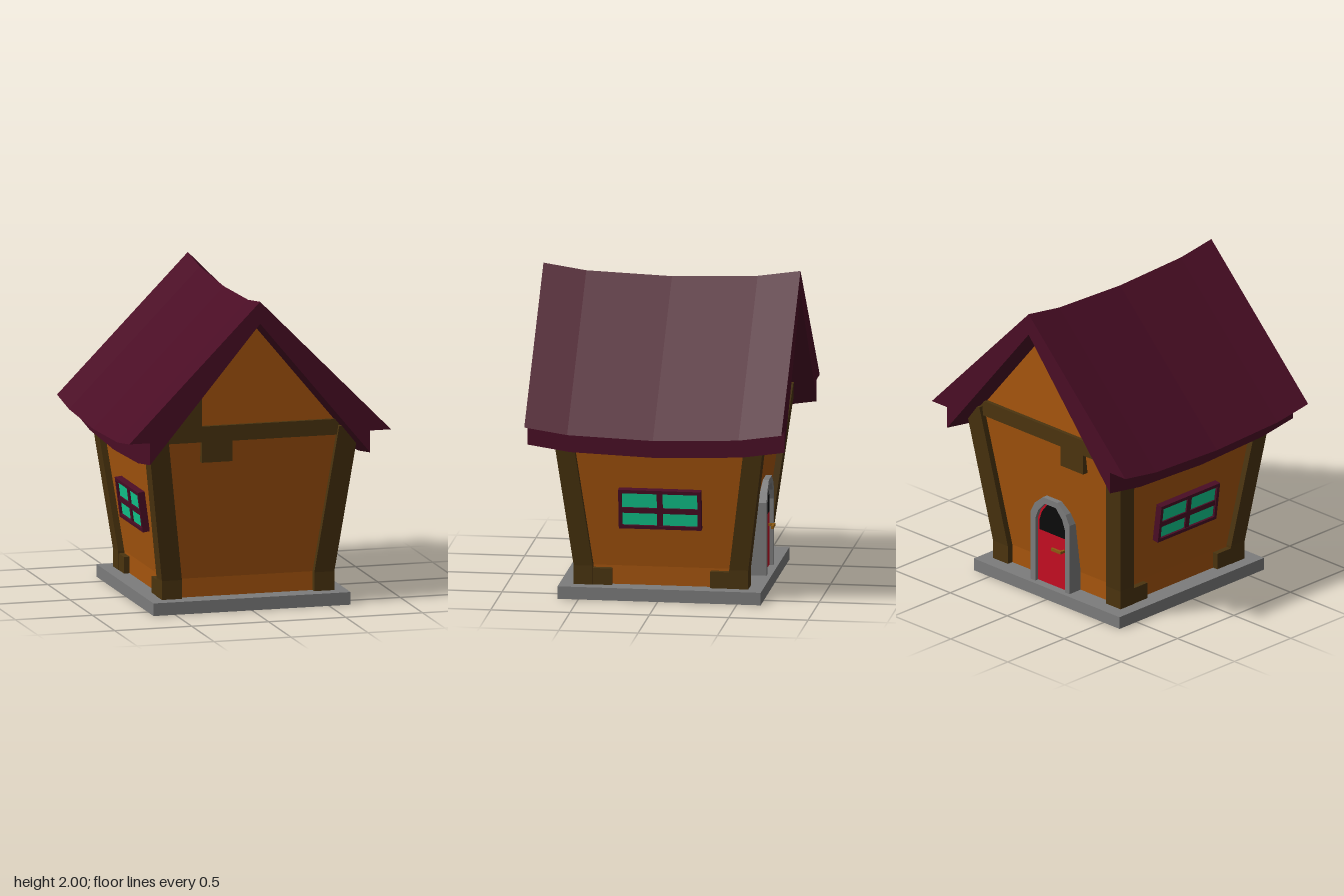
import * as THREE from 'three';

const mat = (name, color, side = THREE.FrontSide) => {
  const m = new THREE.MeshStandardMaterial({ color, side });
  m.name = name;
  return m;
};

// Stack of rectangles [y, x0, x1, z0, z1] joined into a flat-faced solid, open underneath
function loft(rings) {
  const loops = rings.map(([y, x0, x1, z0, z1]) => [[x0, y, z1], [x1, y, z1], [x1, y, z0], [x0, y, z0]]);
  const pos = [];
  const quad = (a, b, c, d) => pos.push(...a, ...b, ...c, ...a, ...c, ...d);
  for (let i = 0; i < loops.length - 1; i++) {
    for (let k = 0; k < 4; k++) {
      const n = (k + 1) % 4;
      quad(loops[i][k], loops[i][n], loops[i + 1][n], loops[i + 1][k]);
    }
  }
  quad(...loops[loops.length - 1]);
  const g = new THREE.BufferGeometry();
  g.setAttribute('position', new THREE.Float32BufferAttribute(pos, 3));
  g.computeVertexNormals();
  return g;
}

const toPoints = (pts) => pts.map(([x, y]) => new THREE.Vector2(x, y));

// Extruded outline between z0 and z1
function slab(pts, z0, z1, steps = 1) {
  const g = new THREE.ExtrudeGeometry(new THREE.Shape(toPoints(pts)), { depth: z1 - z0, steps, bevelEnabled: false });
  return g.translate(0, 0, z0);
}

export function createModel() {
  const roofMat = mat('dark plum', 0x4a0d25);
  const wallMat = mat('orange plaster', 0xa6550d);
  const timberMat = mat('brown timber', 0x4b340f);
  const stoneMat = mat('grey stone', 0x7c7c7c, THREE.DoubleSide);
  const paneMat = mat('green glass', 0x11cb8f);
  const doorMat = mat('red door', 0xc40d22);
  const darkMat = mat('black glass', 0x0b0b0b);
  const brassMat = mat('brass', 0x8c5a12);

  const model = new THREE.Group();
  model.name = 'cottage';
  const house = new THREE.Group();
  house.name = 'house';
  house.position.z = -0.01;
  model.add(house);

  const add = (parent, name, geometry, material, x = 0, y = 0, z = 0) => {
    const m = new THREE.Mesh(geometry, material);
    m.name = name;
    m.position.set(x, y, z);
    parent.add(m);
    return m;
  };
  const box = (parent, name, material, w, h, d, x, y, z) =>
    add(parent, name, new THREE.BoxGeometry(w, h, d), material, x, y, z);

  // Stone base, hollow underneath
  add(house, 'base', loft([[0, -0.64, 0.64, -0.64, 0.64], [0.08, -0.64, 0.64, -0.64, 0.64]]), stoneMat);

  // Outward lean of walls and posts above the plinth height
  const SLOPE = 0.11 / 0.83;
  const lean = (y) => Math.max(0, y - 0.2) * SLOPE;

  // Flared walls and the gable prism above them
  const levels = [0.08, 0.2, 1.09];
  add(house, 'walls', loft(levels.map((y) => {
    const x = 0.52 + lean(y), z = 0.51 + lean(y);
    return [y, -x, x, -z, z];
  })), wallMat);
  add(house, 'gable', slab([[-0.638, 1.08], [0.638, 1.08], [0, 1.87]], -0.625, 0.625), wallMat);

  // Corner posts with feet along the side walls
  for (const sx of [-1, 1]) {
    for (const sz of [-1, 1]) {
      const span = (s, a, b) => (s > 0 ? [a, b] : [-b, -a]);
      add(house, 'cornerPost', loft([0.08, 0.2, 1.15].map((y) => {
        const l = lean(y);
        return [y, ...span(sx, 0.43 + l, 0.56 + l), ...span(sz, 0.43 + l, 0.55 + l)];
      })), timberMat);
      add(house, 'postFoot', loft([0.08, 0.185].map((y) =>
        [y, ...span(sx, 0.43, 0.557), ...span(sz, 0.31, 0.45)])), timberMat);
    }
  }

  // Gable beams with a hanging block and a filled corner on one side
  const beamOutline = [[-0.61, 1.09], [-0.33, 1.09], [-0.33, 0.96], [-0.13, 0.96], [-0.13, 1.09],
    [0.61, 1.09], [0.56, 1.19], [-0.33, 1.19], [-0.33, 1.47], [-0.62, 1.12]];
  add(house, 'frontBeam', slab(beamOutline, 0.58, 0.65), timberMat);
  add(house, 'backBeam', slab(beamOutline, -0.65, -0.58), timberMat);

  // Side windows, tilted with the walls
  for (const s of [-1, 1]) {
    const win = new THREE.Group();
    win.name = 'sideWindow';
    win.position.set(s * (0.565 + lean(0.582)), 0.582, 0);
    win.rotation.z = -s * Math.atan(SLOPE);
    house.add(win);
    for (const k of [-1, 1]) {
      box(win, 'frameRail', roofMat, 0.07, 0.022, 0.52, -s * 0.035, k * 0.117, 0);
      box(win, 'frameStile', roofMat, 0.07, 0.256, 0.022, -s * 0.035, 0, k * 0.249);
    }
    box(win, 'crossRail', roofMat, 0.06, 0.035, 0.49, -s * 0.035, -0.008, 0);
    box(win, 'crossStile', roofMat, 0.06, 0.225, 0.036, -s * 0.035, 0, 0);
    box(win, 'glass', paneMat, 0.05, 0.225, 0.49, -s * 0.04, 0, 0);
  }

  // Arched door at the back
  const arch = (w, bottom, top) => [[-w, bottom], [w, bottom], [w, top - 0.125], [w * 0.8, top - 0.06],
    [w * 0.38, top], [-w * 0.38, top], [-w * 0.8, top - 0.06], [-w, top - 0.125]];
  const outer = arch(0.17, 0.04, 0.67);
  const inner = arch(0.13, 0.04, 0.63);
  const frame = [outer[0], inner[0], ...inner.slice(2).reverse(), inner[1], outer[1], ...outer.slice(2)];
  add(house, 'doorFrame', slab(frame, -0.61, -0.5), stoneMat);
  add(house, 'door', slab(arch(0.135, 0.081, 0.635), -0.585, -0.5), doorMat);
  add(house, 'doorWindow', slab(arch(0.115, 0.43, 0.618), -0.589, -0.584), darkMat);
  box(house, 'doorHandle', brassMat, 0.085, 0.018, 0.015, -0.065, 0.345, -0.618);
  box(house, 'handleStem', brassMat, 0.016, 0.016, 0.04, -0.1, 0.345, -0.6);

  // Sagging roof with notched eaves
  const half = [[0.715, 1.0], [0.715, 1.14], [0.85, 1.14]];
  const profile = [[0, 2], ...half.map(([x, y]) => [-x, y]).reverse(), [0, 1.86], ...half];
  const roof = slab(profile, -0.81, 0.81, 6);
  const p = roof.attributes.position;
  for (let i = 0; i < p.count; i++) {
    const a = Math.abs(p.getZ(i));
    const sag = a > 0.54 ? 0.04 * (0.81 - a) / 0.27 : 0.04 + 0.02 * (0.54 - a) / 0.54;
    p.setY(i, p.getY(i) - sag);
  }
  roof.computeVertexNormals();
  add(model, 'roof', roof, roofMat);

  return model;
}
